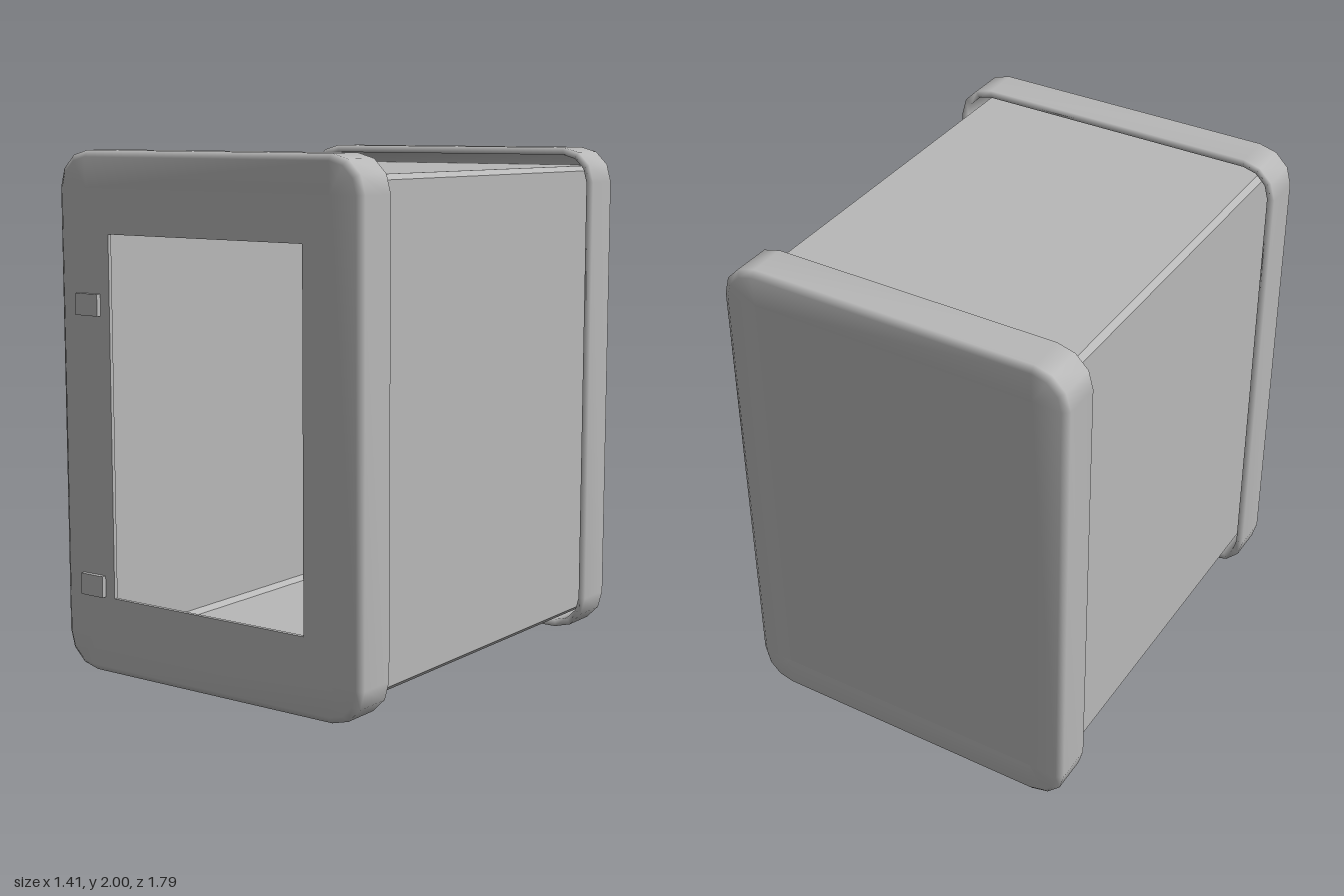
import * as THREE from 'three';

const W = 0.705, H = 1; // half width and half height of the end caps
const shell = new THREE.MeshStandardMaterial({ color: 0xb8b8b8 });
shell.name = 'grey shell';

// Rounded rectangle outline, counter-clockwise, three segments per corner
function outline(inset) {
  const r = Math.max(0.14 - inset, 0);
  const points = [];
  for (let corner = 0; corner < 4; corner++) {
    const sx = corner === 0 || corner === 3 ? 1 : -1;
    const sy = corner < 2 ? 1 : -1;
    for (let k = 0; k <= 3; k++) {
      const a = (corner + k / 3) * Math.PI / 2;
      points.push([sx * (W - inset - r) + r * Math.cos(a), sy * (H - inset - r) + r * Math.sin(a)]);
    }
  }
  return points;
}

// Hollow rim, swept from [inset, depth] pairs around the outline; front at z = 0
function rimGeometry() {
  const profile = [[0.14, 0.02], [0.03, 0.03], [0.03, 0.17], [0, 0.17], [0, 0.02], [0.025, 0], [0.14, 0.004]];
  const positions = [], index = [], n = 16;
  profile.forEach(([inset, depth], i) => {
    outline(inset).forEach(([x, y], j) => {
      positions.push(x, y, -depth);
      if (i === profile.length - 1) return;
      const a = i * n + j, b = i * n + (j + 1) % n;
      index.push(a, b, b + n, a, b + n, a + n);
    });
  });
  const g = new THREE.BufferGeometry();
  g.setAttribute('position', new THREE.Float32BufferAttribute(positions, 3));
  g.setIndex(index);
  g.computeVertexNormals();
  return g;
}

// Rectangle with cut corners, as a list of points
function rectPoints(x0, y0, x1, y1, c = 0) {
  const p = c
    ? [[x0 + c, y0], [x1 - c, y0], [x1, y0 + c], [x1, y1 - c], [x1 - c, y1], [x0 + c, y1], [x0, y1 - c], [x0, y0 + c]]
    : [[x0, y0], [x1, y0], [x1, y1], [x0, y1]];
  return p.map(([x, y]) => new THREE.Vector2(x, y));
}

function frameGeometry(outer, inner, depth) {
  const shape = new THREE.Shape(outer);
  if (inner) shape.holes.push(new THREE.Path(inner));
  return new THREE.ExtrudeGeometry(shape, { depth, bevelEnabled: false });
}

export function createModel() {
  const model = new THREE.Group();
  const add = (name, geometry, x, y, z) => {
    const mesh = new THREE.Mesh(geometry, shell);
    mesh.name = name;
    mesh.position.set(x, y, z);
    model.add(mesh);
    return mesh;
  };

  // Hollow body with small chamfers along its long edges
  const body = frameGeometry(
    rectPoints(-0.63, 0.06, 0.63, 1.925, 0.02),
    rectPoints(-0.618, 0.072, 0.618, 1.913, 0.02), 1.73);
  add('body', body, 0, 0, -0.87);

  // End rims
  add('frontRim', rimGeometry(), 0, 1, 0.88);
  add('backRim', rimGeometry(), 0, 1, -0.895).rotation.y = Math.PI;

  // Door frame with its opening, and the closed back panel
  const panel = rectPoints(-0.565, 0.14, 0.565, 1.86);
  add('doorFrame', frameGeometry(panel, rectPoints(-0.455, 0.3, 0.45, 1.69), 0.016), 0, 0, 0.86);
  add('backPanel', frameGeometry(panel, null, 0.016), 0, 0, -0.891);

  // Door hinges
  for (const y of [0.342, 1.424]) {
    add('hinge', new THREE.BoxGeometry(0.11, 0.083, 0.035), -0.555, y, 0.8775);
  }
  return model;
}
